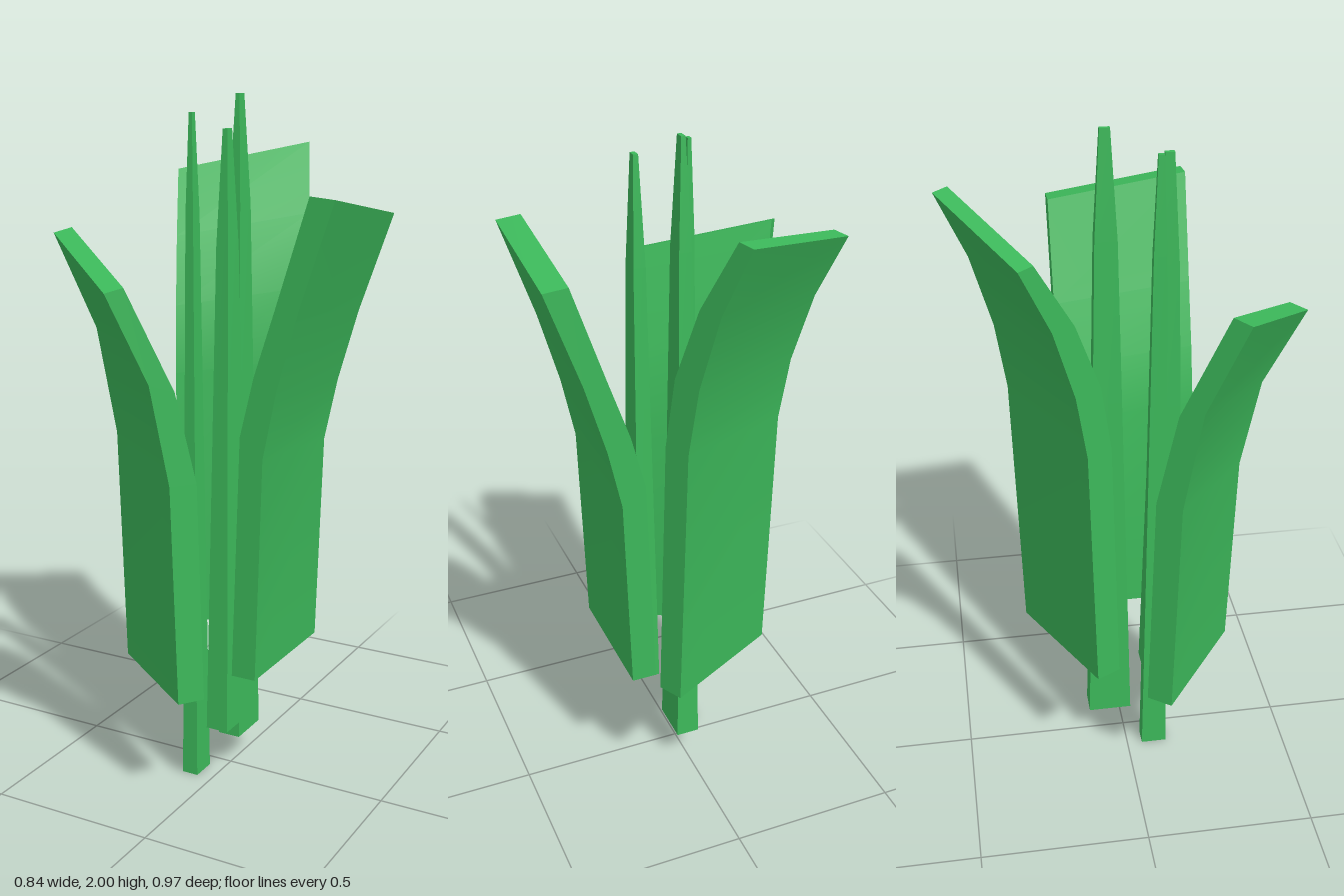
import * as THREE from 'three';
import { toCreasedNormals } from 'three/addons/utils/BufferGeometryUtils.js';

const green = new THREE.MeshStandardMaterial({ color: 0x3cb85a });

// Skin a stack of four-cornered rings (counter-clockwise seen from above) and cap both ends
function loft(rings) {
  const index = [];
  for (let i = 0; i < rings.length - 1; i++) {
    for (let j = 0; j < 4; j++) {
      const a = i * 4 + j, b = i * 4 + (j + 1) % 4;
      index.push(a, b, b + 4, a, b + 4, a + 4);
    }
  }
  const t = (rings.length - 1) * 4;
  index.push(0, 2, 1, 0, 3, 2, t, t + 1, t + 2, t, t + 2, t + 3);
  const geo = new THREE.BufferGeometry();
  geo.setAttribute('position', new THREE.Float32BufferAttribute(rings.flat(2), 3));
  geo.setIndex(index);
  return toCreasedNormals(geo, 0.5);
}

// Thick leaf bending outwards along (nx, nz); its height slopes across the width.
// inner / outer: [distance from axis, fraction of height]
function leaf(name, { nx, nz, shift, bottom, height, slope, inner, outer }) {
  const half = 0.198;
  const corner = ([r, f], side) => {
    const w = shift + side * half;
    return [nx * r + nz * w, bottom + f * (height - side * slope), nz * r - nx * w];
  };
  const rings = inner.map((p, i) => [
    corner(p, -1), corner(outer[i], -1), corner(outer[i], 1), corner(p, 1),
  ]);
  const mesh = new THREE.Mesh(loft(rings), green);
  mesh.name = name;
  return mesh;
}

// Four-sided stalk tapering to a narrow blunt tip; sections: [y, half x, half z]
function stalk(name, x, z, sections) {
  const rings = sections.map(([y, a, b]) => [
    [x - a, y, z + b], [x + a, y, z + b], [x + a, y, z - b], [x - a, y, z - b],
  ]);
  const mesh = new THREE.Mesh(loft(rings), green);
  mesh.name = name;
  return mesh;
}

export function createModel() {
  const group = new THREE.Group();
  group.name = 'plant';

  // Outer leaves
  group.add(
    leaf('leftLeaf', {
      nx: 1, nz: 0, shift: -0.036, bottom: 0.41, height: 1.31, slope: 0.03,
      inner: [[0.13, 0], [0.154, 0.52], [0.195, 0.645], [0.255, 0.78], [0.35, 1]],
      outer: [[0.203, 0], [0.223, 0.48], [0.262, 0.62], [0.322, 0.78], [0.42, 0.995]],
    }),
    leaf('backLeaf', {
      nx: -0.46, nz: -0.888, shift: -0.031, bottom: 0.415, height: 1.405, slope: 0.04,
      inner: [[0.136, 0], [0.16, 0.57], [0.192, 0.715], [0.27, 0.86], [0.385, 1]],
      outer: [[0.213, 0], [0.238, 0.57], [0.272, 0.71], [0.338, 0.86], [0.429, 0.995]],
    }),
    leaf('frontRightLeaf', {
      nx: -0.591, nz: 0.807, shift: 0.009, bottom: 0.335, height: 1.245, slope: 0.06,
      inner: [[0.182, 0], [0.2, 0.54], [0.262, 0.76], [0.4, 1]],
      outer: [[0.261, 0], [0.28, 0.54], [0.335, 0.78], [0.453, 0.99]],
    }),
  );

  // Inner stalks
  group.add(
    stalk('thinStalk', -0.073, 0.086, [[0, 0.025, 0.039], [1.68, 0.012, 0.018], [1.95, 0.005, 0.008]]),
    stalk('tallStalk', 0.003, -0.047, [[0.1, 0.035, 0.066], [1.7, 0.018, 0.031], [2, 0.006, 0.014]]),
    stalk('shortStalk', 0.062, 0.133, [[0.21, 0.034, 0.066], [1.6, 0.018, 0.03], [1.91, 0.007, 0.013]]),
  );
  return group;
}
